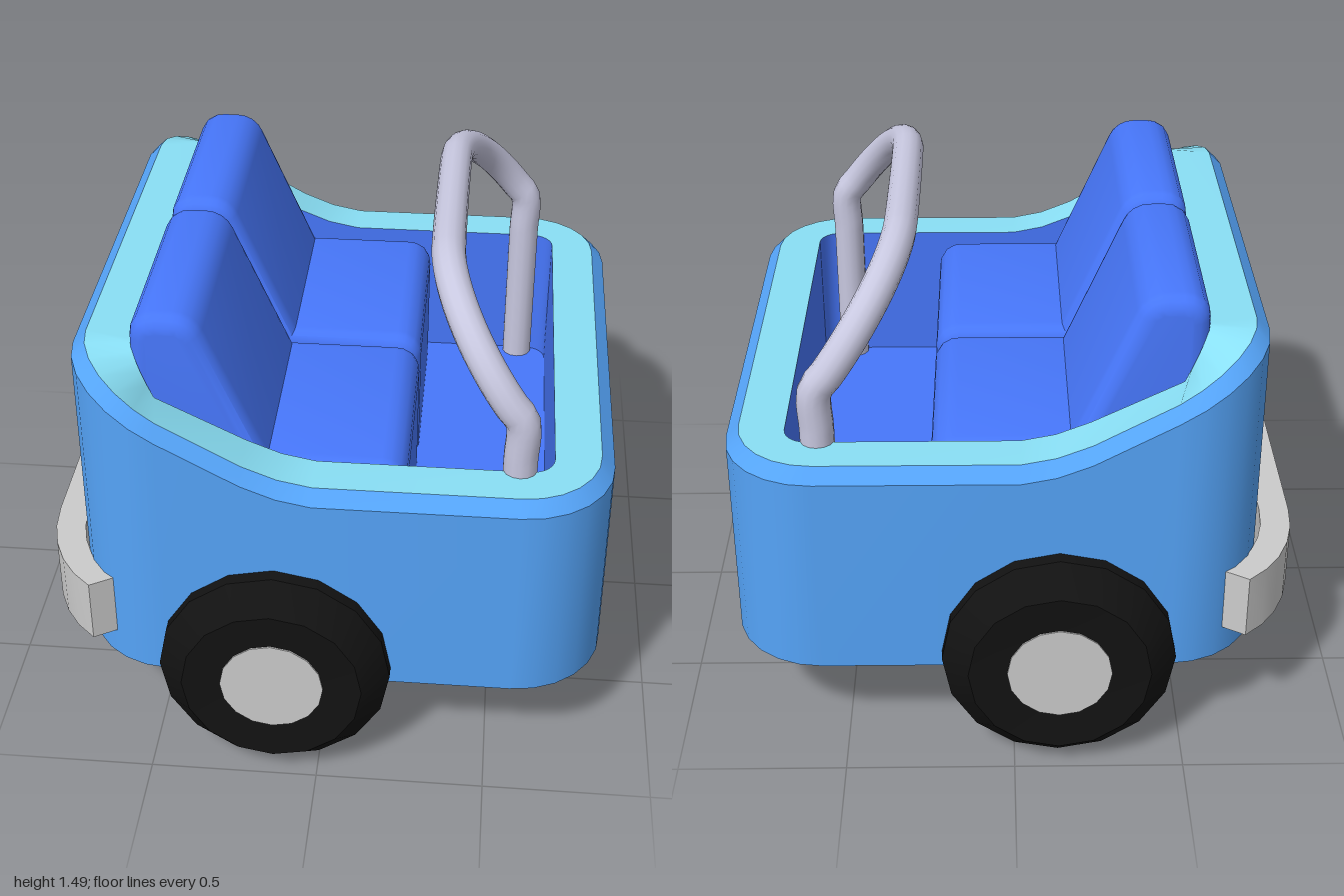
import * as THREE from 'three';
import { toCreasedNormals } from 'three/addons/utils/BufferGeometryUtils.js';

const BLUE = 0x55a4f8, TEAL = 0x89dff5, ROYAL = 0x4777fb, TYRE = 0x121212, STEEL = 0xc8c8e0, GREY = 0xcccccc;

function part(name, geometry, color, side = THREE.FrontSide) {
  const mesh = new THREE.Mesh(geometry, new THREE.MeshStandardMaterial({ color, side, roughness: 0.8 }));
  mesh.name = name;
  return mesh;
}

// Height of the rim: level at the front, sloping up to the back
const RIM = [[-0.725, 1.3], [-0.22, 1.02], [-0.12, 0.98], [-0.02, 0.96], [2, 0.96]];
function rimHeight(x) {
  const i = Math.max(1, RIM.findIndex(p => p[0] >= x));
  const [x0, y0] = RIM[i - 1], [x1, y1] = RIM[i];
  return y0 + (y1 - y0) * (x - x0) / (x1 - x0);
}

// Rounded rectangle in plan, with extra points where the rim bends
function outline(x0, x1, hz, r) {
  const pts = [], cx = [x1 - r, x0 + r, x0 + r, x1 - r], bends = [-0.02, -0.12, -0.22];
  for (let c = 0; c < 4; c++) {
    const cz = (c < 2 ? 1 : -1) * (hz - r);
    for (let i = 0; i <= 6; i++) {
      const a = (c + i / 6) * Math.PI / 2;
      pts.push([cx[c] + r * Math.cos(a), cz + r * Math.sin(a)]);
    }
    if (c === 0) bends.forEach(x => pts.push([x, hz]));
    if (c === 2) [...bends].reverse().forEach(x => pts.push([x, -hz]));
  }
  return pts;
}

// Band of faces between two closed rings
function band(a, b) {
  const n = a.length, index = [];
  for (let i = 0; i < n; i++) {
    const j = (i + 1) % n;
    index.push(i, n + i, j, j, n + i, n + j);
  }
  const g = new THREE.BufferGeometry();
  g.setAttribute('position', new THREE.Float32BufferAttribute([...a, ...b].flat(), 3));
  g.setIndex(index);
  g.computeVertexNormals();
  return g;
}

function makeBody() {
  const body = new THREE.Group();
  body.name = 'body';
  const outer = outline(-0.725, 0.835, 0.88, 0.27);
  const mid = outline(-0.685, 0.795, 0.84, 0.23);
  const inner = outline(-0.55, 0.66, 0.71, 0.07);
  const heights = outer.map(p => rimHeight(p[0]));
  const ring = (pts, y) => pts.map(([x, z], i) => [x, y(i), z]);
  const centre = y => outer.map(() => [0.055, y, 0]);
  const base = ring(outer, () => 0.29);
  const shoulder = ring(outer, i => heights[i] - 0.04);
  const rimOut = ring(mid, i => heights[i]);
  const rimIn = ring(inner, i => heights[i]);
  const floor = ring(inner, () => 0.5);
  body.add(
    part('underside', band(centre(0.29), base), BLUE),
    part('outerWall', band(base, shoulder), BLUE),
    part('rimBevel', band(shoulder, rimOut), BLUE),
    part('rimTop', band(rimOut, rimIn), TEAL),
    part('innerWall', band(rimIn, floor), ROYAL),
    part('floor', band(floor, centre(0.5)), ROYAL));
  return body;
}

// Padded seat: side profile extruded with a rounded edge
function makeSeat(name, z) {
  const s = new THREE.Shape();
  s.moveTo(-0.5, 0.55);
  s.lineTo(0.19, 0.55);
  s.lineTo(0.19, 0.86);
  s.quadraticCurveTo(0.19, 0.89, 0.16, 0.89);
  s.lineTo(-0.2, 0.89);
  s.lineTo(-0.388, 1.322);
  s.quadraticCurveTo(-0.4, 1.35, -0.43, 1.35);
  s.lineTo(-0.47, 1.35);
  s.quadraticCurveTo(-0.5, 1.35, -0.5, 1.32);
  s.closePath();
  const g = new THREE.ExtrudeGeometry(s, {
    depth: 0.59, bevelSize: 0.05, bevelThickness: 0.05, bevelSegments: 4, curveSegments: 4,
  });
  g.translate(0, 0, z - 0.295);
  return part(name, toCreasedNormals(g, 0.75), ROYAL);
}

// Hoop: upright posts, then an arch leaning backwards
function makeHoop() {
  const half = [];
  for (let y = 0.5; y < 1.09; y += 0.1) half.push([0.56, y, 0.695]);
  for (let i = 0; i <= 10; i++) {
    const a = i / 10 * Math.PI / 2, t = Math.sin(a);
    half.push([0.56 - 0.235 * t, 1.12 + 0.325 * t, 0.28 + 0.415 * Math.cos(a)]);
  }
  const other = half.map(([x, y, z]) => [x, y, -z]).reverse();
  const path = new THREE.CatmullRomCurve3([...half, ...other].map(p => new THREE.Vector3(...p)), false, 'centripetal');
  return part('rollHoop', new THREE.TubeGeometry(path, 100, 0.05, 14), STEEL);
}

// Wheel lying on its axle, outer face towards +z
function makeWheel(name, side) {
  const wheel = new THREE.Group();
  wheel.name = name;
  const profile = [[0, 0], [0.342, 0], [0.342, 0.34], [0.265, 0.42], [0.15, 0.41], [0, 0.41]]
    .map(p => new THREE.Vector2(...p));
  const tyre = toCreasedNormals(new THREE.LatheGeometry(profile, 16).rotateX(Math.PI / 2), 0.5);
  const hub = new THREE.CylinderGeometry(0.152, 0.152, 0.03, 16).rotateX(Math.PI / 2).translate(0, 0, 0.4);
  wheel.add(part('tyre', tyre, TYRE, THREE.DoubleSide), part('hub', hub, GREY));
  wheel.position.set(-0.13, 0.345, side * 0.58);
  if (side < 0) wheel.rotation.y = Math.PI;
  return wheel;
}

// Wrap-around bumper, drawn in plan and extruded upwards
function makeBumper() {
  const s = new THREE.Shape();
  s.moveTo(-0.845, -0.5);
  s.bezierCurveTo(-0.845, -0.66, -0.78, -0.79, -0.68, -0.865);
  s.lineTo(-0.615, -0.825);
  s.bezierCurveTo(-0.7, -0.75, -0.755, -0.64, -0.755, -0.5);
  s.lineTo(-0.755, 0.5);
  s.bezierCurveTo(-0.755, 0.64, -0.7, 0.75, -0.615, 0.825);
  s.lineTo(-0.68, 0.865);
  s.bezierCurveTo(-0.78, 0.79, -0.845, 0.66, -0.845, 0.5);
  s.closePath();
  const g = new THREE.ExtrudeGeometry(s, { depth: 0.2, bevelEnabled: false, curveSegments: 5 });
  g.rotateX(-Math.PI / 2).translate(0, 0.38, 0);
  return part('rearBumper', toCreasedNormals(g, 0.6), GREY);
}

export function createModel() {
  const model = new THREE.Group();
  model.name = 'rideCar';
  model.add(
    makeBody(),
    makeSeat('nearSeat', 0.352), makeSeat('farSeat', -0.352),
    makeHoop(),
    makeWheel('nearWheel', 1), makeWheel('farWheel', -1),
    makeBumper());
  return model;
}
